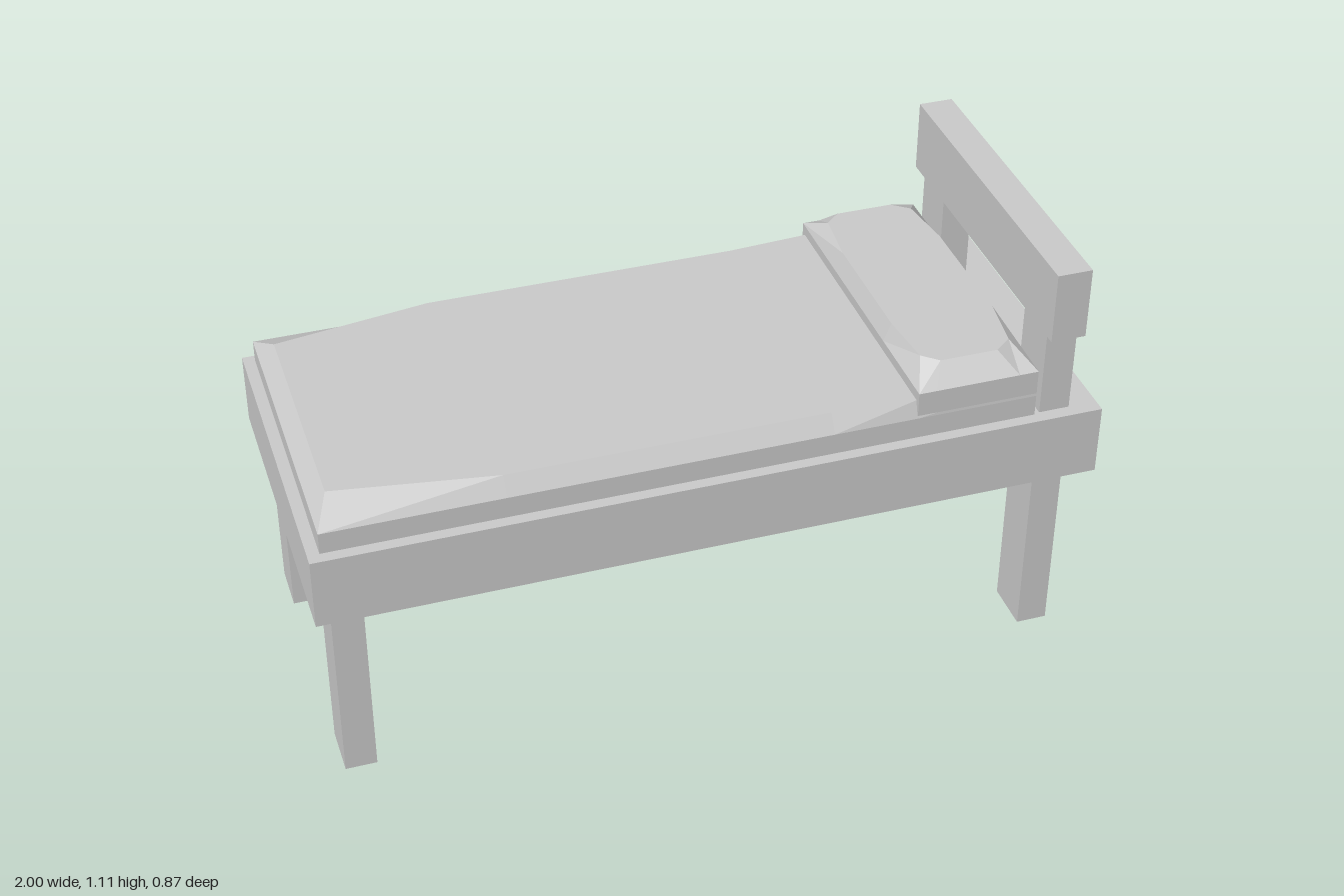
import * as THREE from 'three';

const material = new THREE.MeshStandardMaterial({ color: 0xcccccc, flatShading: true });

// Box given by its lower and upper bounds
function box(name, [x0, x1], [y0, y1], [z0, z1]) {
  const mesh = new THREE.Mesh(new THREE.BoxGeometry(x1 - x0, y1 - y0, z1 - z0), material);
  mesh.position.set((x0 + x1) / 2, (y0 + y1) / 2, (z0 + z1) / 2);
  mesh.name = name;
  return mesh;
}

// Closed outline from one half, mirrored front to back: points are [x, z]
function ring(half, y) {
  const back = half.map(([x, z]) => [x, -z]).reverse();
  return [...half, ...back].map(([x, z]) => new THREE.Vector3(x, y, z - 0.005));
}

// Faceted solid through a stack of rings, capped at both ends
function loft(name, rings) {
  const tris = [];
  const n = rings[0].length;
  const centre = (r) => r.reduce((s, p) => s.add(p), new THREE.Vector3()).divideScalar(n);
  const first = rings[0], last = rings[rings.length - 1];
  const low = centre(first), high = centre(last);
  for (let i = 0; i < n; i++) {
    const j = (i + 1) % n;
    for (let k = 0; k + 1 < rings.length; k++) {
      const a = rings[k], b = rings[k + 1];
      tris.push(a[i], a[j], b[j], a[i], b[j], b[i]);
    }
    tris.push(high, last[i], last[j], low, first[j], first[i]);
  }
  const geometry = new THREE.BufferGeometry().setFromPoints(tris);
  geometry.computeVertexNormals();
  const mesh = new THREE.Mesh(geometry, material);
  mesh.name = name;
  return mesh;
}

export function createModel() {
  const bed = new THREE.Group();
  bed.name = 'bed';

  // Frame and headboard
  bed.add(box('frame', [-1, 1], [0.495, 0.685], [-0.435, 0.435]));
  bed.add(box('headboard', [0.84, 0.93], [0.92, 1.11], [-0.435, 0.435]));

  // Foot legs, and head posts that carry the headboard
  for (const [side, z, footZ] of [
    ['left', [0.268, 0.4], [0.275, 0.408]],
    ['right', [-0.385, -0.253], [-0.385, -0.253]],
  ]) {
    bed.add(box(side + 'FootLeg', [-0.96, -0.88], [0, 0.5], footZ));
    bed.add(box(side + 'HeadPost', [0.845, 0.925], [0, 0.925], z));
  }

  // Mattress with a bevel that widens toward the foot
  const mattressSide = [-0.97, -0.52, 0.3, 0.52, 0.83].map((x) => [x, 0.41]);
  const mattressTop = [[-0.93, 0.315], [-0.52, 0.38], [0.3, 0.38], [0.52, 0.394], [0.83, 0.405]];
  bed.add(loft('mattress', [
    ring(mattressSide, 0.68), ring(mattressSide, 0.742), ring(mattressTop, 0.788),
  ]));

  // Pillow with bevelled edges and cut corners
  const pillowSide = [[0.515, 0.17], [0.515, 0.41], [0.56, 0.41], [0.78, 0.41], [0.83, 0.41], [0.83, 0.17]];
  const pillowTop = [[0.535, 0.17], [0.55, 0.32], [0.59, 0.355], [0.74, 0.355], [0.785, 0.32], [0.805, 0.17]];
  bed.add(loft('pillow', [
    ring(pillowSide, 0.75), ring(pillowSide, 0.815), ring(pillowTop, 0.863),
  ]));

  return bed;
}
